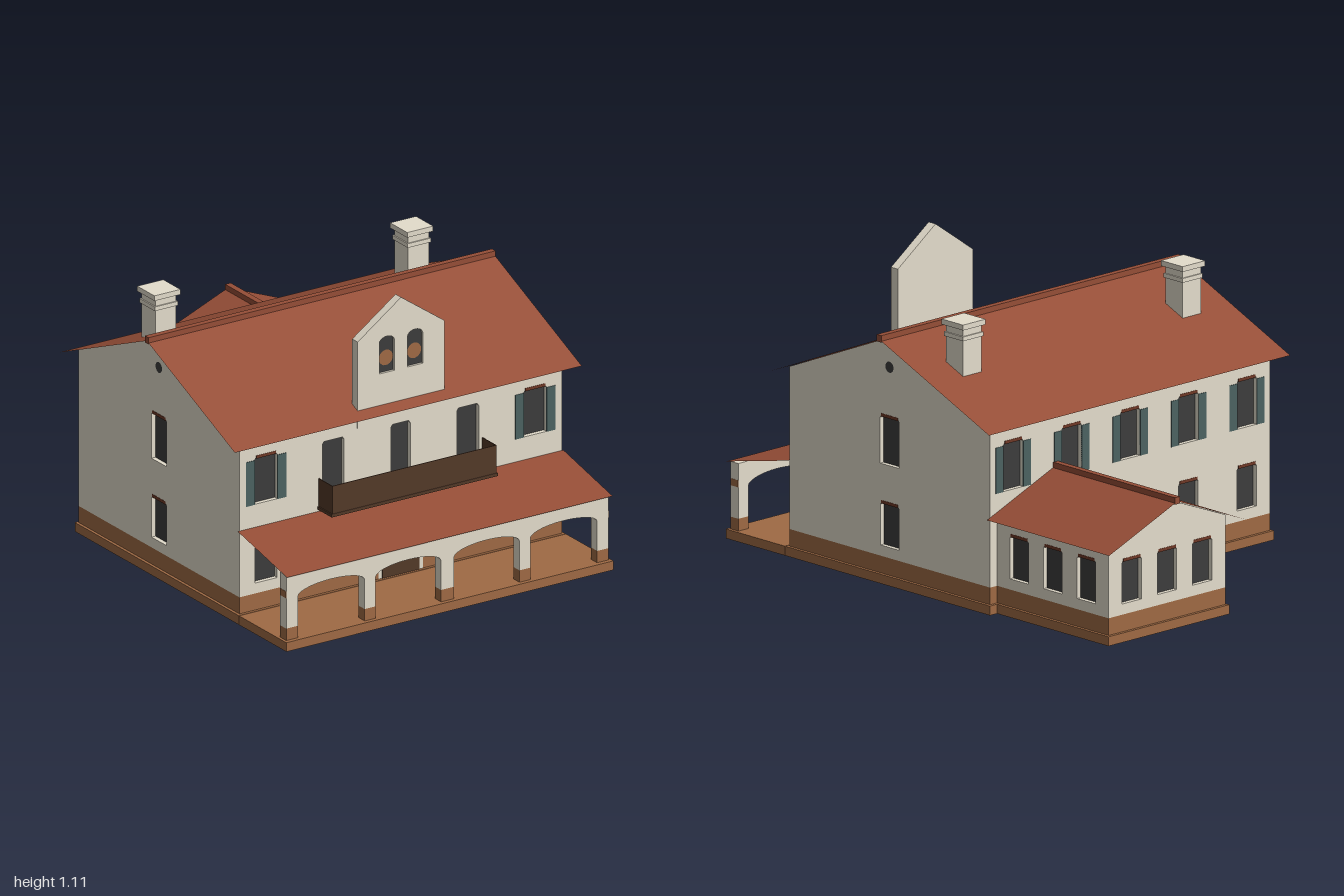
import * as THREE from 'three';

const mat = (name, color, side = THREE.FrontSide) => {
  const m = new THREE.MeshStandardMaterial({ color, side });
  m.name = name;
  return m;
};
const T = 0.02; // wall thickness

export function createModel() {
  const plaster = mat('plaster', 0xe4ddcc);
  const tile = mat('roof tile', 0x964e37, THREE.DoubleSide);
  const clay = mat('terracotta', 0x9f6a44, THREE.DoubleSide);
  const wood = mat('dark wood', 0x533928);
  const brick = mat('dark brick', 0x6e3826);
  const glass = mat('window glass', 0x3c3c3c);
  const teal = mat('shutter teal', 0x4c6261);

  const model = new THREE.Group();
  model.name = 'villa';

  const group = (parent, name, x = 0, y = 0, z = 0, angle = 0) => {
    const g = new THREE.Group();
    g.name = name;
    g.position.set(x, y, z);
    g.rotation.y = angle;
    parent.add(g);
    return g;
  };
  const mesh = (parent, name, geo, material) => {
    const m = new THREE.Mesh(geo, material);
    m.name = name;
    parent.add(m);
    return m;
  };
  // Box given by its limits on each axis
  const box = (parent, name, material, x0, x1, y0, y1, z0, z1) => {
    const m = mesh(parent, name, new THREE.BoxGeometry(x1 - x0, y1 - y0, z1 - z0), material);
    m.position.set((x0 + x1) / 2, (y0 + y1) / 2, (z0 + z1) / 2);
    return m;
  };
  // Floor slab with a skirt, hollow underneath
  const slab = (parent, name, x0, x1, z0, z1) => {
    const geo = box(parent, name, clay, x0, x1, 0, 0.035, z0, z1).geometry;
    const index = Array.from(geo.index.array);
    index.splice(18, 6);
    geo.setIndex(index);
    geo.clearGroups();
  };
  const poly = (pts, Kind = THREE.Shape) => new Kind(pts.map(p => new THREE.Vector2(...p)));
  const extrude = (shape, depth, z0) =>
    new THREE.ExtrudeGeometry(shape, { depth, bevelEnabled: false }).translate(0, 0, z0);
  // Opening outline with a curved head of the given rise
  const archPoints = (u, w, y0, y1, rise, n = 10) => {
    const pts = [[u - w / 2, y0], [u + w / 2, y0]];
    for (let i = 0; i <= n; i++) {
      const a = Math.PI * i / n;
      pts.push([u + w / 2 * Math.cos(a), y1 - rise + rise * Math.sin(a)]);
    }
    return pts;
  };
  // Opening outline with small cut corners at the head
  const windowPoints = ({ u, w, y0, y1 }) => [[u - w / 2, y0], [u + w / 2, y0], [u + w / 2, y1 - 0.01],
    [u + w / 2 - 0.007, y1], [u - w / 2 + 0.007, y1], [u - w / 2, y1 - 0.01]];

  // Wall with recessed windows; it faces local +z at the given distance
  const wall = (parent, name, angle, dist, half, y0, y1, peak, openings) => {
    const g = group(parent, name, 0, 0, 0, angle);
    const outline = [[-half, y0], [half, y0], [half, y1]];
    if (peak) outline.push([0, peak]);
    outline.push([-half, y1]);
    const shape = poly(outline);
    for (const o of openings) {
      const pts = windowPoints(o);
      shape.holes.push(poly(pts, THREE.Path));
      mesh(g, 'window pane', new THREE.ShapeGeometry(poly(pts)).translate(0, 0, dist - T + 0.003), glass);
      if (o.lintel) box(g, 'lintel', brick, o.u - 0.043, o.u + 0.043, o.y1 - 0.006, o.y1 + 0.006, dist - 0.015, dist + 0.001);
      if (o.shutters) for (const s of [-1, 1]) {
        const c = o.u + s * 0.068;
        box(g, 'shutter', teal, c - 0.019, c + 0.019, o.y0 - 0.001, o.y1 - 0.011, dist - 0.002, dist + 0.002);
      }
    }
    mesh(g, name + ' plaster', extrude(shape, T, dist - T), plaster);
    return g;
  };
  const low = u => ({ u, w: 0.096, y0: 0.14, y1: 0.303, lintel: true });
  const high = (u, shutters) => ({ u, w: 0.098, y0: 0.446, y1: 0.628, lintel: true, shutters });

  // Flat four-cornered sheet
  const sheet = (parent, name, a, b, c, d) => {
    const geo = new THREE.BufferGeometry();
    geo.setAttribute('position', new THREE.Float32BufferAttribute([a, b, c, a, c, d].flat(), 3));
    geo.computeVertexNormals();
    return mesh(parent, name, geo, tile);
  };
  // Thin pitched roof with its ridge along local z
  const gableRoof = (parent, name, z, angle, span, eave, ridge, length) => {
    const g = group(parent, name, 0, 0, z, angle), l = length / 2;
    for (const s of [-1, 1]) {
      sheet(g, 'roof slope', [0, ridge, s * l], [s * span, eave, s * l], [s * span, eave, -s * l], [0, ridge, -s * l]);
    }
    box(g, 'ridge cap', tile, -0.012, 0.012, ridge - 0.01, ridge + 0.016, -l, l);
  };

  // Main house, centred on its ridge
  const house = group(model, 'main house', 0, 0, 0.1575);
  const HX = 0.695, HZ = 0.5225, eave = 0.708;
  const five = [-0.58, -0.29, 0, 0.29, 0.58];
  const balconyDoor = (u, w) => ({ u, w, y0: 0.375, y1: 0.622 });
  wall(house, 'front wall', 0, HZ, HX - T, 0.1, eave, 0, [
    ...[-0.58, -0.29, 0.29, 0.58].map(low), high(-0.58, true), high(0.58, true),
    balconyDoor(-0.29, 0.094), balconyDoor(0, 0.084), balconyDoor(0.29, 0.094)]);
  wall(house, 'back wall', Math.PI, HZ, HX - T, 0.1, eave, 0,
    [low(0), low(0.29), low(0.58), ...five.map(u => high(u, true))]);
  for (const s of [-1, 1]) {
    const gable = wall(house, 'gable wall', s * Math.PI / 2, HX, HZ, 0.1, eave, 0.927, [low(0), high(0, false)]);
    mesh(gable, 'attic vent', new THREE.CircleGeometry(0.021, 16).translate(0, 0.815, HX + 0.001), glass);
  }
  box(house, 'plinth', clay, -HX, HX, 0.036, 0.1, -HZ, HZ);
  slab(house, 'foundation slab', -0.705, 0.705, -0.5325, 0.5325);
  gableRoof(house, 'main roof', 0, Math.PI / 2, 0.5725, 0.69, 0.93, 1.496);

  // Entrance door
  box(model, 'door frame', plaster, -0.095, 0.095, 0.036, 0.25, 0.675, 0.681);
  box(model, 'front door', wood, -0.08, 0.08, 0.036, 0.236, 0.676, 0.683);

  // Rear wing
  const wing = group(model, 'rear wing', 0.37, 0, -0.655);
  const row = [-0.175, 0, 0.175].map(low);
  wall(wing, 'wing end wall', Math.PI, 0.29, 0.29, 0.1, 0.372, 0.487, row);
  for (const s of [-1, 1]) wall(wing, 'wing side wall', s * Math.PI / 2, 0.29, 0.2895, 0.1, 0.372, 0, row);
  box(wing, 'wing plinth', clay, -0.29, 0.29, 0.036, 0.1, -0.29, 0.29);
  slab(wing, 'wing slab', -0.3, 0.3, -0.3, 0.279);
  gableRoof(wing, 'wing roof', -0.0275, 0, 0.34, 0.355, 0.491, 0.635);

  // Chimneys
  for (const s of [-1, 1]) {
    const c = group(model, 'chimney', s * 0.545, 0, -0.07);
    for (const [r, y0, y1] of [[0.045, 0.79, 1], [0.05, 0.95, 0.966], [0.056, 0.993, 1.013]]) {
      box(c, 'chimney block', plaster, -r, r, y0, y1, -r, r);
    }
  }

  // Front pediment with paired recessed arched windows
  const pediment = group(model, 'pediment');
  const gablet = () => poly([[-0.187, 0.64], [0.187, 0.64], [0.187, 0.977], [0, 1.109], [-0.187, 0.977]]);
  mesh(pediment, 'pediment back', extrude(gablet(), 0.024, 0.647), plaster);
  const face = gablet();
  for (const u of [-0.061, 0.061]) {
    const pts = archPoints(u, 0.066, 0.832, 0.972, 0.022);
    face.holes.push(poly(pts, THREE.Path));
    mesh(pediment, 'arched window', new THREE.ShapeGeometry(poly(pts)).translate(0, 0, 0.673), glass);
    mesh(pediment, 'window ornament', new THREE.CircleGeometry(0.03, 20).translate(u, 0.887, 0.676), clay);
  }
  mesh(pediment, 'pediment face', extrude(face, 0.012, 0.671), plaster);

  // Balcony: floor and three thin parapet sides
  const balcony = group(model, 'balcony');
  box(balcony, 'balcony floor', wood, -0.358, 0.358, 0.365, 0.377, 0.679, 0.772);
  box(balcony, 'front parapet', wood, -0.354, 0.354, 0.377, 0.485, 0.767, 0.77);
  for (const s of [-1, 1]) {
    box(balcony, 'side parapet', wood, s * 0.3525 - 0.0015, s * 0.3525 + 0.0015, 0.377, 0.485, 0.679, 0.767);
  }

  // Porch: floor, arcade, roof
  const porch = group(model, 'porch');
  slab(porch, 'porch floor', -0.705, 0.705, 0.693, 1);
  const z0 = 0.945, z1 = 0.985, foot = 0.082;
  const openings = [[-0.645, -0.357], [-0.31, -0.028], [0.028, 0.31], [0.357, 0.645]];
  const arcade = [[-HX, foot]];
  for (const [a, b] of openings) {
    const [, , ...curve] = archPoints((a + b) / 2, b - a, foot, 0.232, 0.036, 14);
    arcade.push([a, foot], ...curve.reverse(), [b, foot]);
  }
  arcade.push([HX, foot], [HX, 0.289], [-HX, 0.289]);
  mesh(porch, 'arcade', extrude(poly(arcade), z1 - z0, z0), plaster);
  const edges = [-HX, ...openings.flat(), HX];
  for (let i = 0; i < edges.length; i += 2) {
    box(porch, 'pillar foot', clay, edges[i], edges[i + 1], 0.036, foot, z0, z1);
  }
  for (const s of [-1, 1]) {
    box(porch, 'pillar band', clay, s * HX - 0.001, s * HX + 0.001, 0.2, 0.226, z0, z1);
  }
  sheet(porch, 'porch roof', [-0.702, 0.357, 0.68], [-0.702, 0.287, 1], [0.702, 0.287, 1], [0.702, 0.357, 0.68]);

  return model;
}
